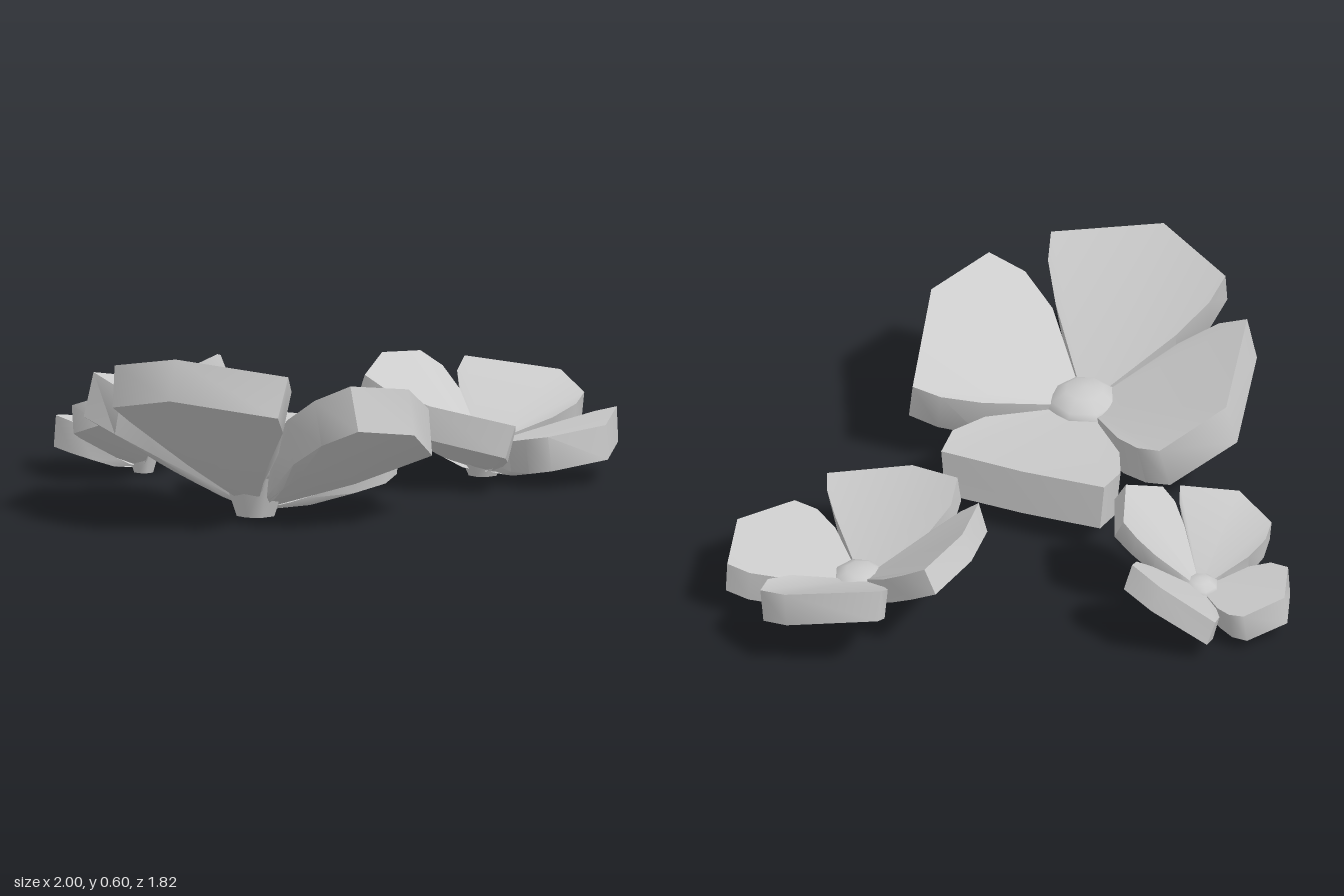
import * as THREE from 'three';
import { toCreasedNormals } from 'three/addons/utils/BufferGeometryUtils.js';

const material = new THREE.MeshStandardMaterial({ color: 0xcccccc });
const petalNames = ['frontLeftPetal', 'backLeftPetal', 'backRightPetal', 'frontRightPetal'];

const average = (points) =>
  points.reduce((sum, p) => sum.add(p), new THREE.Vector3()).divideScalar(points.length);

// Rim of the petal in one quarter of a flower. Each corner is [u, height, v], with u and v
// measured along the quarter's two sides; neighbours touch along the inner part of the sides.
function petalRim(quarter, top, [a, b, c]) {
  const turn = quarter * Math.PI / 2;
  const at = (u, y, v) => new THREE.Vector3(
    top.x + u * Math.sin(turn) + v * Math.cos(turn), y,
    top.z + u * Math.cos(turn) - v * Math.sin(turn));
  const height = (corner, t) => THREE.MathUtils.lerp(top.y, corner[1], t);
  return [
    at(a[0] * 0.3, height(a, 0.28), 0.002),
    at(a[0] * 0.62, height(a, 0.58), 0.004),
    at(a[0] * 0.86, height(a, 0.83), a[2] * 0.36),
    at(...a), at(...b), at(...c),
    at(c[0] * 0.36, height(c, 0.83), c[2] * 0.86),
    at(0.004, height(c, 0.58), c[2] * 0.62),
    at(0.002, height(c, 0.28), c[2] * 0.3),
  ];
}

// A thick, cupped petal: upper fan, outer wall and tapered underside
function petalGeometry(rim, top, base, thickness) {
  const last = rim.length - 1;
  const normal = new THREE.Vector3();
  for (let i = 0; i < last; i++) {
    normal.add(rim[i].clone().sub(top).cross(rim[i + 1].clone().sub(top)));
  }
  normal.normalize();

  // lower rim, pushed outward most at the far end
  const middle = average(rim);
  const reach = Math.max(...rim.map((p) => p.distanceTo(top)));
  const lower = rim.map((p) => {
    const push = thickness * 0.6 * (p.distanceTo(top) / reach) ** 2;
    const q = p.clone().lerp(middle, 0.05);
    q.x -= normal.x * push;
    q.z -= normal.z * push;
    q.y = Math.max(p.y - thickness * normal.y, base.y + 0.03);
    return q;
  });
  // belly, rounding the underside toward the base
  const lowMiddle = average(lower);
  const belly = lower.map((p) => {
    const q = p.clone().lerp(lowMiddle, 0.14).lerp(base, 0.4);
    q.y = Math.max(q.y - thickness * 0.12, base.y);
    return q;
  });

  const out = [];
  const tri = (...corners) => corners.forEach((p) => out.push(p.x, p.y, p.z));
  const quad = (a, b, c, d) => { tri(a, b, c); tri(a, c, d); };
  for (let i = 0; i < last; i++) {
    const j = i + 1;
    tri(top, rim[i], rim[j]);
    quad(rim[i], lower[i], lower[j], rim[j]);
    quad(lower[i], belly[i], belly[j], lower[j]);
    tri(base, belly[j], belly[i]);
  }
  // side walls running in to the flower's centre
  quad(base, belly[0], lower[0], rim[0]);
  tri(base, rim[0], top);
  quad(base, rim[last], lower[last], belly[last]);
  tri(base, top, rim[last]);

  const geometry = new THREE.BufferGeometry();
  geometry.setAttribute('position', new THREE.Float32BufferAttribute(out, 3));
  return toCreasedNormals(geometry, 1.0);
}

// Four petals around a faceted, domed centre on a blunt base
function flower(name, { x, z, topY, domeY, radius, thickness }, petals) {
  const group = new THREE.Group();
  group.name = name;
  const add = (part, geometry) => {
    const mesh = new THREE.Mesh(geometry, material);
    mesh.name = part;
    group.add(mesh);
  };
  const top = new THREE.Vector3(x, topY, z);
  const base = new THREE.Vector3(x, 0.015, z);
  petals.forEach((corners, quarter) => {
    const rim = petalRim(quarter, top, corners);
    add(petalNames[quarter], petalGeometry(rim, top, base, thickness));
  });
  const domeHeight = domeY - topY;
  add('flowerCentre', new THREE.SphereGeometry(1, 8, 6)
    .scale(radius, domeHeight, radius).translate(x, topY, z));
  add('flowerBase', toCreasedNormals(
    new THREE.CylinderGeometry(radius * 0.95, radius * 0.5, topY, 8), 1.0).translate(x, topY / 2, z));
  return group;
}

export function createModel() {
  const model = new THREE.Group();
  model.name = 'flowers';
  model.add(flower('largeFlower',
    { x: -0.445, z: 0.38, topY: 0.18, domeY: 0.26, radius: 0.135, thickness: 0.17 }, [
      [[0.51, 0.5, 0.16], [0.42, 0.465, 0.395], [0.08, 0.34, 0.58]],
      [[0.57, 0.25, 0.18], [0.36, 0.26, 0.39], [0.135, 0.27, 0.58]],
      [[0.51, 0.32, 0.085], [0.48, 0.42, 0.33], [0.12, 0.49, 0.53]],
      [[0.52, 0.54, 0.07], [0.4, 0.595, 0.35], [0.055, 0.54, 0.5]],
    ]));
  model.add(flower('mediumFlower',
    { x: 0.55, z: -0.205, topY: 0.1, domeY: 0.15, radius: 0.1, thickness: 0.12 }, [
      [[0.395, 0.18, 0.095], [0.33, 0.2, 0.32], [0.075, 0.22, 0.445]],
      [[0.4, 0.24, 0.13], [0.36, 0.3, 0.26], [0.07, 0.34, 0.4]],
      [[0.37, 0.37, 0.095], [0.25, 0.39, 0.27], [0.045, 0.35, 0.4]],
      [[0.39, 0.33, 0.14], [0.29, 0.29, 0.31], [0.035, 0.23, 0.44]],
    ]));
  model.add(flower('smallFlower',
    { x: -0.5, z: -0.625, topY: 0.1, domeY: 0.145, radius: 0.068, thickness: 0.11 }, [
      [[0.235, 0.37, 0.05], [0.22, 0.42, 0.185], [0.06, 0.39, 0.25]],
      [[0.275, 0.33, 0.1], [0.215, 0.3, 0.215], [0.045, 0.16, 0.28]],
      [[0.265, 0.15, 0.06], [0.235, 0.17, 0.215], [0.1, 0.19, 0.275]],
      [[0.28, 0.25, 0.08], [0.215, 0.3, 0.22], [0.025, 0.33, 0.275]],
    ]));
  return model;
}
